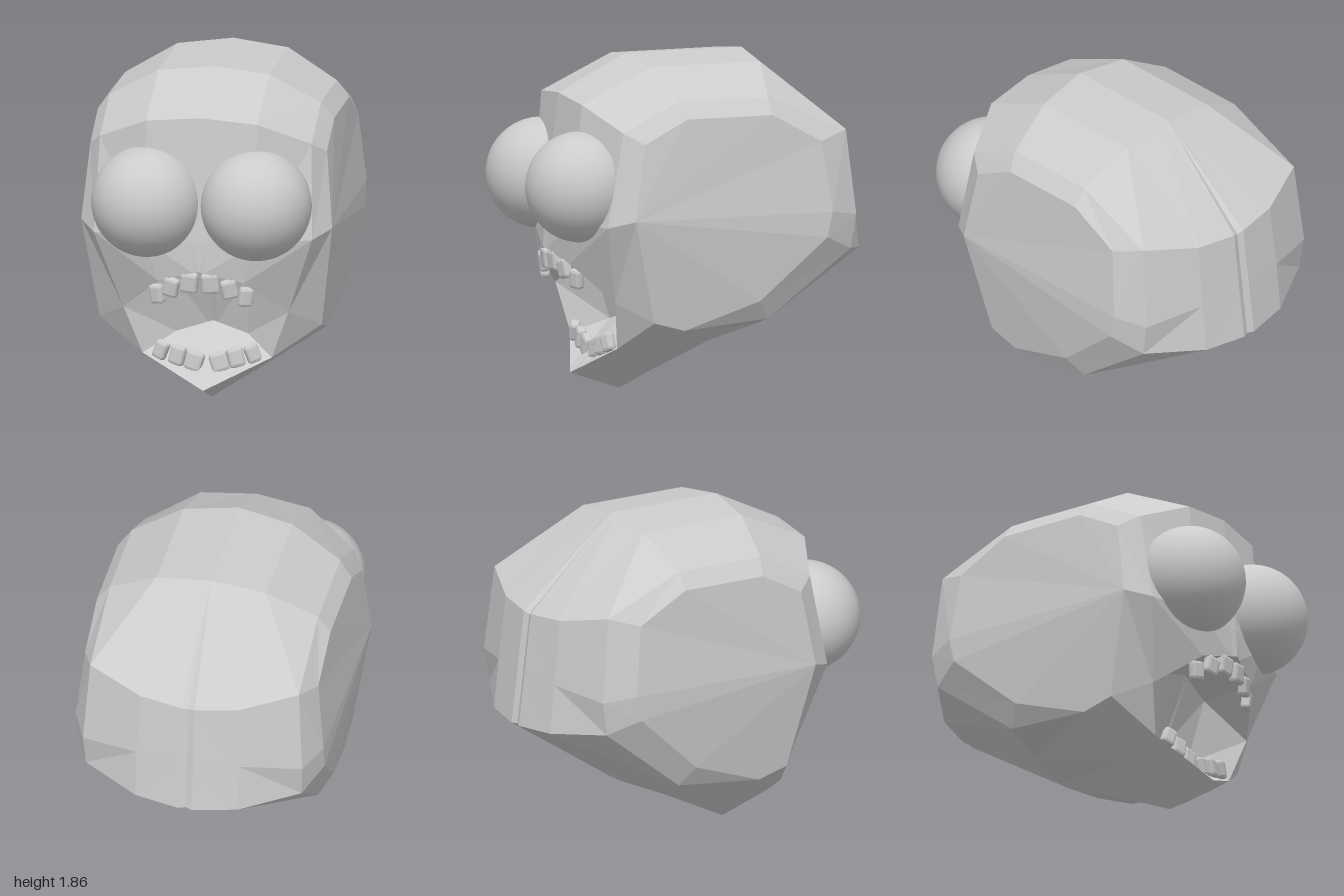
import * as THREE from 'three';
import { RoundedBoxGeometry } from 'three/addons/geometries/RoundedBoxGeometry.js';

const V = (x, y, z) => new THREE.Vector3(x, y, z);
const flat = new THREE.MeshStandardMaterial({ color: 0xcccccc, flatShading: true });
const smooth = new THREE.MeshStandardMaterial({ color: 0xcccccc });

// Each row is one landmark, from the middle outwards: centre, inner, outer, side wall
function headColumns() {
  const mouthCorner = [0.46, 0.54, 0.55], jaw = [0.62, 0.44, 0.38];
  const rows = [
    [[0, 1.66, 0.71], [0.31, 1.63, 0.69], [0.59, 1.50, 0.55], [0.66, 1.44, 0.45]],      // brow
    [[0, 1.86, 0.31], [0.31, 1.82, 0.28], [0.59, 1.66, 0.23], [0.66, 1.57, 0.20]],      // top front
    [[0, 1.86, -0.37], [0.31, 1.82, -0.36], [0.59, 1.66, -0.30], [0.66, 1.57, -0.30]],  // top back
    [[0, 1.37, -0.92], [0.28, 1.39, -0.88], [0.59, 1.46, -0.76], [0.66, 1.41, -0.59]],  // back, upper
    [[0, 1.05, -0.96], [0.29, 1.03, -0.92], [0.62, 0.99, -0.81], [0.70, 1.02, -0.64]],  // back, middle
    [[0, 0.74, -1.0], [0.29, 0.755, -0.95], [0.61, 0.80, -0.78], [0.70, 0.88, -0.61]],  // back, lower
    [[0, 0.32, -0.35], [0.30, 0.36, -0.33], [0.59, 0.43, -0.30], [0.66, 0.54, -0.23]],  // underside
    [[0, 0, 0.35], [0.31, 0.19, 0.27], [0.62, 0.39, 0.20], [0.62, 0.39, 0.20]],         // chin, back
    [[0, 0.10, 0.64], [0.36, 0.27, 0.50], jaw, jaw],                                    // chin, front
    [[0, 0.42, 0.30], [0.20, 0.36, 0.33], mouthCorner, jaw],                            // mouth floor
    [[0, 0.79, 0.45], [0.22, 0.72, 0.43], mouthCorner, jaw],                            // mouth roof
    [[0, 0.81, 0.80], [0.24, 0.74, 0.735], mouthCorner, jaw],                           // upper lip
    [[0, 0.97, 0.79], [0.31, 0.97, 0.75], [0.61, 0.98, 0.65], [0.70, 1.02, 0.52]],      // cheek
  ];
  const cols = [0, 1, 2, 3].map(c => rows.map(r => V(...r[c])));
  // A narrow groove runs down the middle of the back and underside
  const rim = cols[0].map((p, j) => p.clone().lerp(cols[1][j], 0.13));
  for (let j = 3; j <= 6; j++) cols[0][j].lerp(V(0, 0.95, 0), 0.02);
  cols.splice(1, 0, rim);
  return cols;
}

function headGeometry() {
  const pos = [];
  const tri = (a, b, c) => {
    const area = b.clone().sub(a).cross(c.clone().sub(a)).length();
    if (area < 1e-6) return;
    for (const p of [a, b, c]) pos.push(p.x, p.y, p.z);
    for (const p of [a, c, b]) pos.push(-p.x, p.y, p.z); // mirrored half
  };
  const cols = headColumns(), n = cols[0].length;
  for (let i = 0; i < cols.length - 1; i++) {
    for (let j = 0; j < n; j++) {
      const k = (j + 1) % n, [p, q] = [cols[i], cols[i + 1]];
      tri(p[j], q[j], q[k]);
      tri(p[j], q[k], p[k]);
    }
  }
  // Side walls: an upper and a lower panel that meet on a level crease
  const side = cols[cols.length - 1];
  for (const panel of [[12, 0, 1, 2, 3, 4], [12, 4, 5, 6, 7, 8]]) {
    for (let i = 1; i < panel.length - 1; i++) {
      tri(side[panel[0]], side[panel[i + 1]], side[panel[i]]);
    }
  }
  const g = new THREE.BufferGeometry();
  g.setAttribute('position', new THREE.Float32BufferAttribute(pos, 3));
  g.computeVertexNormals();
  return g;
}

export function createModel() {
  const model = new THREE.Group();
  model.name = 'head';
  const add = (name, geometry, material, parent = model) => {
    const mesh = new THREE.Mesh(geometry, material);
    mesh.name = name;
    parent.add(mesh);
    return mesh;
  };

  add('skull', headGeometry(), flat);

  // Bulging eyes
  const eye = new THREE.SphereGeometry(0.307, 40, 28);
  for (const s of [1, -1]) {
    add(s > 0 ? 'leftEye' : 'rightEye', eye, smooth).position.set(s * 0.305, 1.175, 0.693);
  }

  // Teeth rows: x, y, z, width, height, tilt
  const rows = {
    upperTeeth: [[0.06, 0.738, 0.755, 0.1, 0.115, 0.08], [0.163, 0.705, 0.735, 0.09, 0.11, 0.2],
      [0.247, 0.655, 0.695, 0.08, 0.11, -0.15]],
    lowerTeeth: [[0.07, 0.238, 0.515, 0.1, 0.11, 0.3], [0.163, 0.268, 0.515, 0.09, 0.11, 0.25],
      [0.255, 0.295, 0.515, 0.08, 0.105, 0.4]],
  };
  for (const [name, teeth] of Object.entries(rows)) {
    const row = new THREE.Group();
    row.name = name;
    model.add(row);
    for (const [x, y, z, w, h, tilt] of teeth) {
      const tooth = new RoundedBoxGeometry(w, h, 0.055, 1, 0.018);
      for (const s of [1, -1]) {
        const mesh = add('tooth', tooth, flat, row);
        mesh.position.set(s * x, y, z);
        mesh.rotation.set(name === 'upperTeeth' ? 0.1 : -0.1, s * x * 1.6, s * tilt);
      }
    }
  }
  return model;
}
